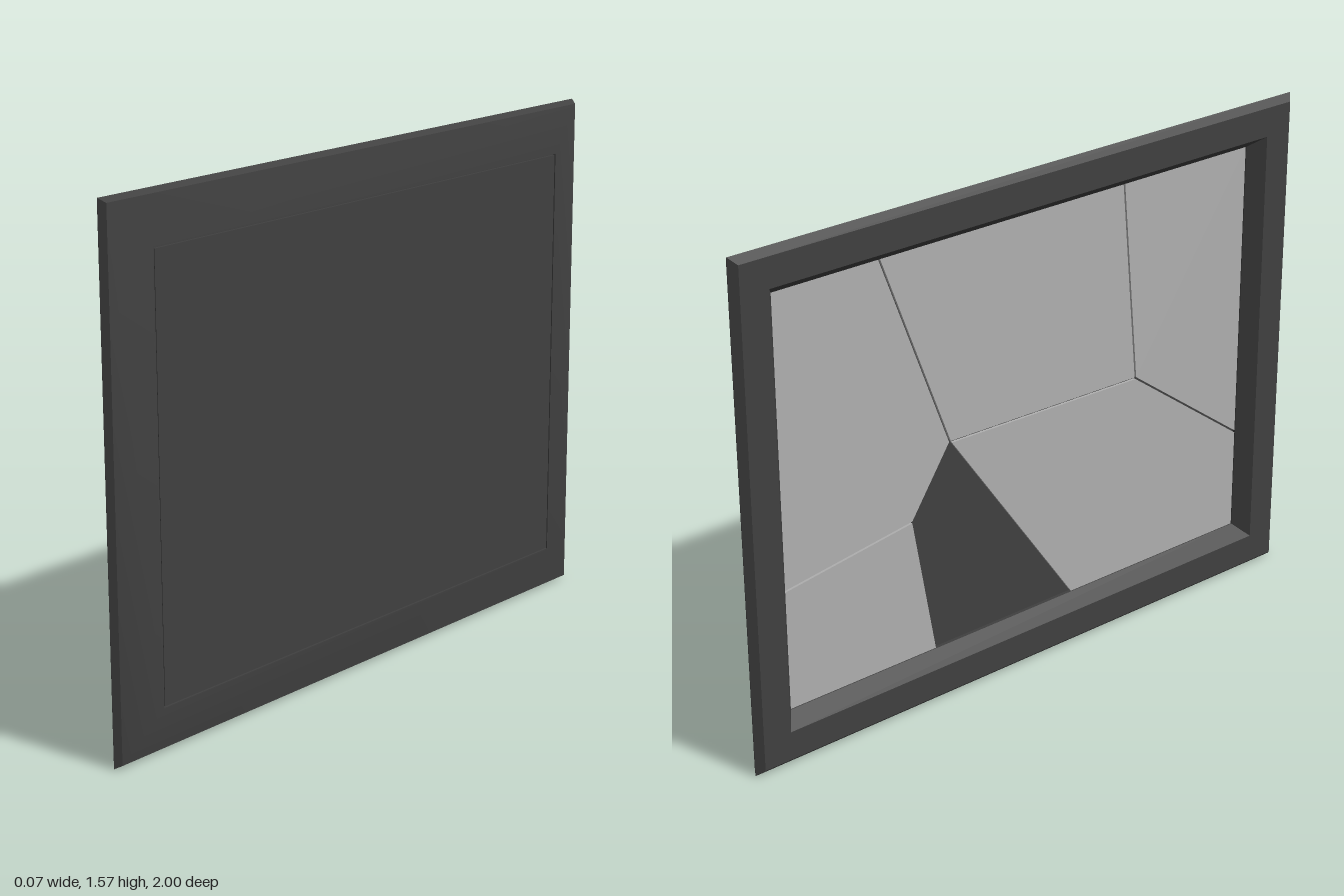
import * as THREE from 'three';
import { toCreasedNormals } from 'three/addons/utils/BufferGeometryUtils.js';

const HALF_W = 1, HALF_H = 0.7825;

// Mitred rectangular frame swept from a closed profile of [x, inset from the outer edge]
function frameGeometry(profile) {
  const corners = [[1, -1], [-1, -1], [-1, 1], [1, 1]]; // signs of z, y
  const n = profile.length, positions = [], index = [];
  corners.forEach(([sz, sy], k) => {
    profile.forEach(([x, inset], i) => {
      positions.push(x, HALF_H + sy * (HALF_H - inset), sz * (HALF_W - inset));
      const next = ((k + 1) % 4) * n, here = k * n, j = (i + 1) % n;
      index.push(here + i, next + i, next + j, here + i, next + j, here + j);
    });
  });
  const geometry = new THREE.BufferGeometry();
  geometry.setAttribute('position', new THREE.Float32BufferAttribute(positions, 3));
  geometry.setIndex(index);
  return toCreasedNormals(geometry, 0.6);
}

// Flat piece of glass from [z, y] corners, shrunk slightly to leave cracks
function shardGeometry(points) {
  const cz = points.reduce((s, p) => s + p[0], 0) / points.length;
  const cy = points.reduce((s, p) => s + p[1], 0) / points.length;
  const shape = new THREE.Shape(points.map(([z, y]) =>
    new THREE.Vector2(-(cz + (z - cz) * 0.99), cy + (y - cy) * 0.99)));
  const geometry = new THREE.ExtrudeGeometry(shape, { depth: 0.008, bevelEnabled: false });
  return geometry.rotateY(Math.PI / 2).translate(0.015, 0, 0);
}

export function createModel() {
  const model = new THREE.Group();
  model.name = 'brokenMirror';
  const dark = new THREE.MeshStandardMaterial({ color: 0x404040 });
  const glass = new THREE.MeshStandardMaterial({ color: 0xb0b0b0 });
  const add = (name, geometry, material, parent = model) => {
    const mesh = new THREE.Mesh(geometry, material);
    mesh.name = name;
    parent.add(mesh);
    return mesh;
  };

  // Frame: flat front, pointed rim, long bevel toward the back
  add('frame', frameGeometry([
    [-0.037, 0.02], [-0.015, 0], [0.006, 0.012], [0.035, 0.14],
    [0.035, 0.146], [0.012, 0.146], [-0.037, 0.11],
  ]), dark);

  // Backing board, set in the frame with a fine seam around it
  const board = add('backingBoard', new THREE.BoxGeometry(0.009, 1.267, 1.702), dark);
  board.position.set(0.0295, HALF_H, 0);

  // Board behind the seam, also seen through the missing shard
  const liner = add('innerBoard', new THREE.BoxGeometry(0.003, 1.275, 1.71), dark);
  liner.position.set(0.0245, HALF_H, 0);

  // Crack junctions as [z, y]
  const W = 0.86, BOTTOM = 0.135, TOP = 1.43;
  const middle = [-0.273, 0.798], right = [0.431, 0.786], low = [-0.41, 0.588];
  const topA = [-0.508, TOP], topB = [0.372, TOP];
  const edgeA = [-W, 0.523], edgeB = [W, 0.469];
  const bottomA = [-0.332, BOTTOM], bottomB = [0.186, BOTTOM];

  // Glass shards; the piece between low, middle, bottomA and bottomB has fallen out
  const shards = new THREE.Group();
  shards.name = 'mirrorShards';
  model.add(shards);
  [
    [edgeA, low, middle, topA, [-W, TOP]],
    [topA, middle, right, topB],
    [topB, right, edgeB, [W, TOP]],
    [middle, bottomB, [W, BOTTOM], edgeB, right],
    [edgeA, low, bottomA, [-W, BOTTOM]],
  ].forEach((points, i) => add(`shard${i + 1}`, shardGeometry(points), glass, shards));

  return model;
}
